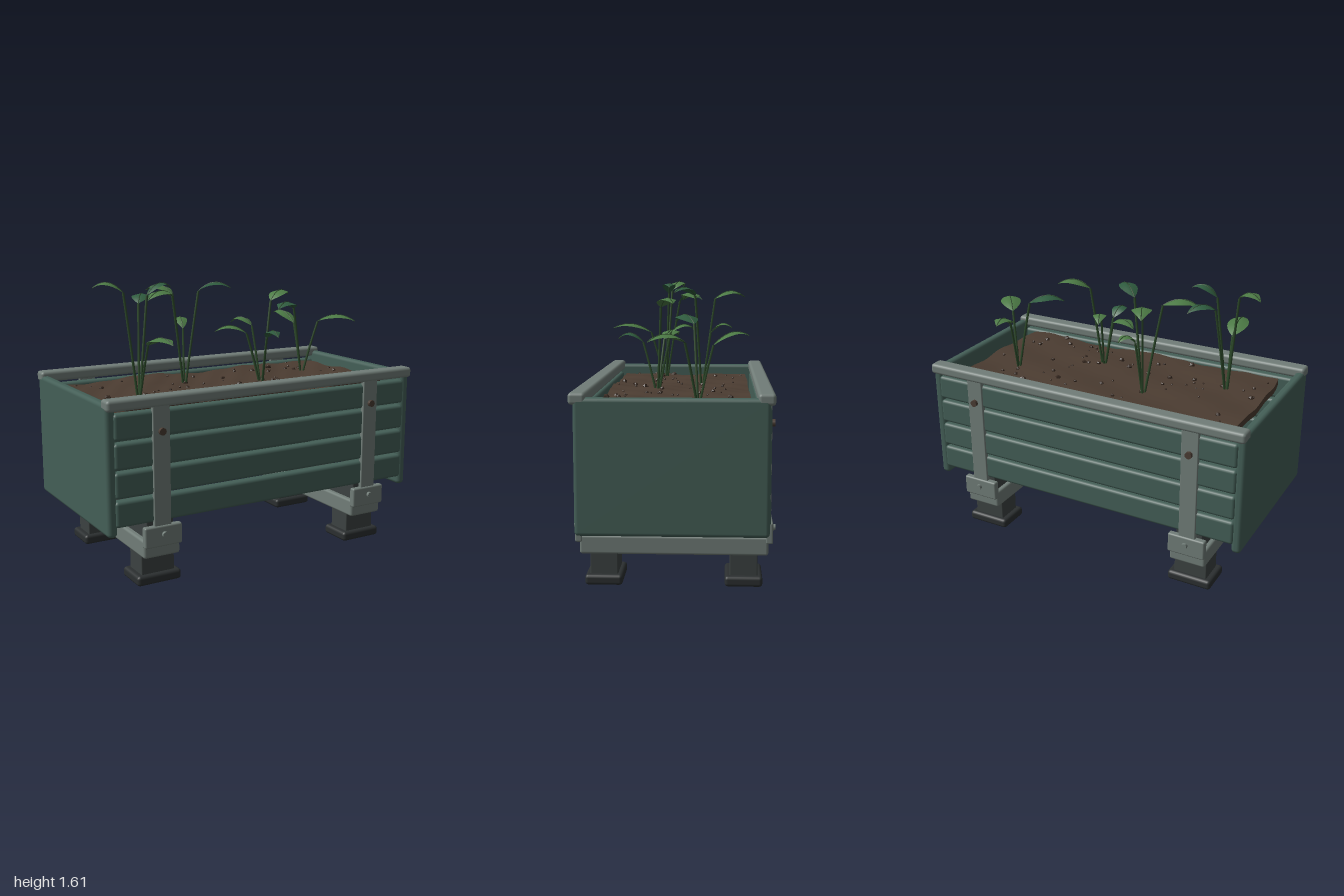
import * as THREE from 'three';
import { RoundedBoxGeometry } from 'three/addons/geometries/RoundedBoxGeometry.js';

const mat = (name, color, extra = {}) => {
  const m = new THREE.MeshStandardMaterial({ color, ...extra });
  m.name = name;
  return m;
};

export function createModel() {
  const model = new THREE.Group();
  model.name = 'planter';

  const green = mat('painted green', 0x445f57);
  const grey = mat('weathered grey', 0x717d78);
  const dark = mat('dark grey', 0x3c4241);
  const black = mat('rubber black', 0x2b2f30);
  const rust = mat('rusty bolt', 0x4a3c33);
  const soilMat = mat('soil', 0x4b3c31);
  const clodMat = mat('dark soil', 0x3a2c23, { flatShading: true });
  const leafLight = mat('light leaf', 0x4c7a45, { side: THREE.DoubleSide });
  const leafDark = mat('dark leaf', 0x2f5c3f, { side: THREE.DoubleSide });
  const stemMat = mat('stem green', 0x2d4a2a);

  const add = (parent, name, geo, material, x = 0, y = 0, z = 0) => {
    const m = new THREE.Mesh(geo, material);
    m.name = name;
    m.position.set(x, y, z);
    parent.add(m);
    return m;
  };
  // Rounded block given by its limits on each axis
  const block = (parent, name, material, x0, x1, y0, y1, z0, z1, r = 0.012) =>
    add(parent, name, new RoundedBoxGeometry(x1 - x0, y1 - y0, z1 - z0, 2, r), material,
      (x0 + x1) / 2, (y0 + y1) / 2, (z0 + z1) / 2);
  // Block on the front (s = 1) or the back (s = -1)
  const sided = (parent, name, material, s, x0, x1, y0, y1, z0, z1, r) =>
    block(parent, name, material, x0, x1, y0, y1, Math.min(s * z0, s * z1), Math.max(s * z0, s * z1), r);
  const bolt = (parent, name, material, s, x, y, z, r) => {
    const b = add(parent, name, new THREE.CylinderGeometry(r, r, 0.03, 12), material, x, y, s * z);
    b.rotation.x = Math.PI / 2;
  };

  // Box: end panels, slats and top rails
  for (const s of [1, -1]) {
    block(model, 'endPanel', green, s > 0 ? 0.945 : -1, s > 0 ? 1 : -0.945, 0.315, 1.03, -0.5, 0.5, 0.022);
    for (let i = 0; i < 4; i++) {
      const y = 0.367 + i * 0.156;
      sided(model, 'slat', green, s, -0.957, 0.957, y, y + 0.142, 0.44, 0.507, 0.018);
    }
    sided(model, 'topRail', grey, s, -1, 1, 0.993, 1.055, 0.434, 0.523, 0.018);
  }

  // Leg frames with straps, clips and feet
  for (const cx of [-0.692, 0.692]) {
    const frame = new THREE.Group();
    frame.name = 'legFrame';
    frame.position.x = cx;
    model.add(frame);
    block(frame, 'upperBeam', dark, -0.08, 0.08, 0.26, 0.37, -0.48, 0.48, 0.006);
    block(frame, 'crossBeam', grey, -0.108, 0.108, 0.165, 0.268, -0.503, 0.503, 0.014);
    for (const s of [1, -1]) {
      sided(frame, 'strap', grey, s, -0.05, 0.05, 0.33, 1.01, 0.49, 0.518, 0.005);
      sided(frame, 'clip', grey, s, -0.111, 0.111, 0.23, 0.347, 0.487, 0.527, 0.01);
      bolt(frame, 'strapBolt', rust, s, 0, 0.864, 0.521, 0.02);
      bolt(frame, 'clipBolt', grey, s, 0.004, 0.298, 0.529, 0.017);
      sided(frame, 'post', dark, s, -0.099, 0.099, 0.04, 0.18, 0.298, 0.447, 0.006);
      sided(frame, 'foot', black, s, -0.132, 0.132, 0, 0.057, 0.272, 0.473, 0.018);
    }
  }

  // Soil: a thin uneven slab with bowed ends
  const bump = (x, z) => 0.007 * Math.sin(9 * x + 4 * z) + 0.005 * Math.sin(17 * z - 6 * x) + 0.003 * Math.sin(31 * x + 23 * z);
  const soilGeo = new THREE.BoxGeometry(1.74, 0.04, 0.82, 48, 1, 24);
  const p = soilGeo.attributes.position;
  for (let i = 0; i < p.count; i++) {
    const x = p.getX(i), z = p.getZ(i);
    p.setY(i, p.getY(i) + bump(x, z));
    p.setX(i, x * (1 - 0.02 * (z / 0.41) ** 4));
  }
  soilGeo.computeVertexNormals();
  add(model, 'soil', soilGeo, soilMat, 0, 0.955, 0);

  // Scattered clods
  let seed = 7;
  const rnd = () => (seed = (seed * 16807) % 2147483647) / 2147483647;
  const clodGeo = new THREE.IcosahedronGeometry(1, 0);
  for (let i = 0; i < 75; i++) {
    const x = (rnd() - 0.5) * 1.64, z = (rnd() - 0.5) * 0.76, r = 0.007 + 0.014 * rnd() ** 2;
    const c = add(model, 'clod', clodGeo, clodMat, x, 0.977 + bump(x, z), z);
    c.scale.set(r, r * 0.8, r);
    c.rotation.set(rnd() * 3, rnd() * 3, 0);
  }

  // Leaf: cross-sections swept along an arch, with the sides folded down
  const leafGeometry = (curve, width) => {
    const n = 10, pos = [], idx = [];
    const a = curve.getPoint(0), b = curve.getPoint(1);
    const side = new THREE.Vector3(a.z - b.z, 0, b.x - a.x).normalize();
    for (let i = 0; i <= n; i++) {
      const t = i / n, c = curve.getPoint(t);
      const w = width * Math.sin(Math.PI * Math.pow(t, 0.85)) + 0.001;
      for (let j = -2; j <= 2; j++) {
        const k = (j / 2) * w;
        pos.push(c.x + side.x * k, c.y - 0.18 * Math.abs(k) - 1.5 * k * k, c.z + side.z * k);
        if (i < n && j < 2) {
          const q = i * 5 + j + 2;
          idx.push(q, q + 1, q + 5, q + 1, q + 6, q + 5);
        }
      }
    }
    // Face upward
    for (let i = 0; i < idx.length; i += 3) [idx[i + 1], idx[i + 2]] = [idx[i + 2], idx[i + 1]];
    const g = new THREE.BufferGeometry();
    g.setAttribute('position', new THREE.Float32BufferAttribute(pos, 3));
    g.setIndex(idx);
    g.computeVertexNormals();
    if (g.attributes.normal.getY(27) < 0) {
      g.setIndex(idx.reverse());
      g.computeVertexNormals();
    }
    return g;
  };

  // Seedlings: root, then leaves as [base x, y, z, tip x, y, z, half width, dark]
  const plants = [
    { root: [-0.635, 0.125], leaves: [
      [-0.7, 1.55, 0.085, -0.85, 1.575, 0.01, 0.045, 0],
      [-0.585, 1.48, 0.03, -0.48, 1.49, -0.12, 0.05, 1],
      [-0.565, 1.53, 0.1, -0.415, 1.57, 0.09, 0.042, 1],
      [-0.62, 1.27, 0.22, -0.595, 1.3, 0.47, 0.06, 0]] },
    { root: [-0.218, -0.125], leaves: [
      [-0.25, 1.5, -0.205, -0.335, 1.51, -0.39, 0.055, 0],
      [-0.195, 1.29, -0.18, -0.155, 1.325, -0.31, 0.036, 0],
      [-0.14, 1.52, -0.085, 0.01, 1.54, 0.035, 0.05, 1],
      [-0.315, 1.5, -0.08, -0.51, 1.49, 0, 0.058, 0]] },
    { root: [0.173, 0.125], leaves: [
      [0.09, 1.27, 0.09, -0.085, 1.285, 0.015, 0.048, 0],
      [0.15, 1.31, 0.05, 0.09, 1.32, -0.095, 0.04, 0],
      [0.25, 1.46, 0.1, 0.425, 1.485, 0.02, 0.052, 0],
      [0.155, 1.255, 0.21, 0.14, 1.275, 0.355, 0.042, 1]] },
    { root: [0.638, -0.125], leaves: [
      [0.628, 1.27, -0.205, 0.595, 1.32, -0.395, 0.05, 0],
      [0.71, 1.29, -0.055, 0.865, 1.3, 0.13, 0.06, 0],
      [0.555, 1.38, -0.1, 0.375, 1.39, 0, 0.06, 1]] },
  ];
  for (const { root, leaves } of plants) {
    const plant = new THREE.Group();
    plant.name = 'seedling';
    model.add(plant);
    for (const [bx, by, bz, tx, ty, tz, w, isDark] of leaves) {
      const base = new THREE.Vector3(bx, by, bz), tip = new THREE.Vector3(tx, ty, tz);
      const ctrl = base.clone().lerp(tip, 0.5);
      ctrl.y += 0.085;
      const arch = new THREE.QuadraticBezierCurve3(base, ctrl, tip);
      const foot = new THREE.Vector3(root[0] + (bx - root[0]) * 0.1, 0.96, root[1] + (bz - root[1]) * 0.1);
      const mid = foot.clone().lerp(base, 0.5);
      mid.y += 0.02;
      add(plant, 'stem', new THREE.TubeGeometry(new THREE.QuadraticBezierCurve3(foot, mid, base), 8, 0.007, 6), stemMat);
      add(plant, 'leaf', leafGeometry(arch, w), isDark ? leafDark : leafLight);
      add(plant, 'midrib', new THREE.TubeGeometry(arch, 10, 0.003, 5), stemMat);
    }
  }
  return model;
}
